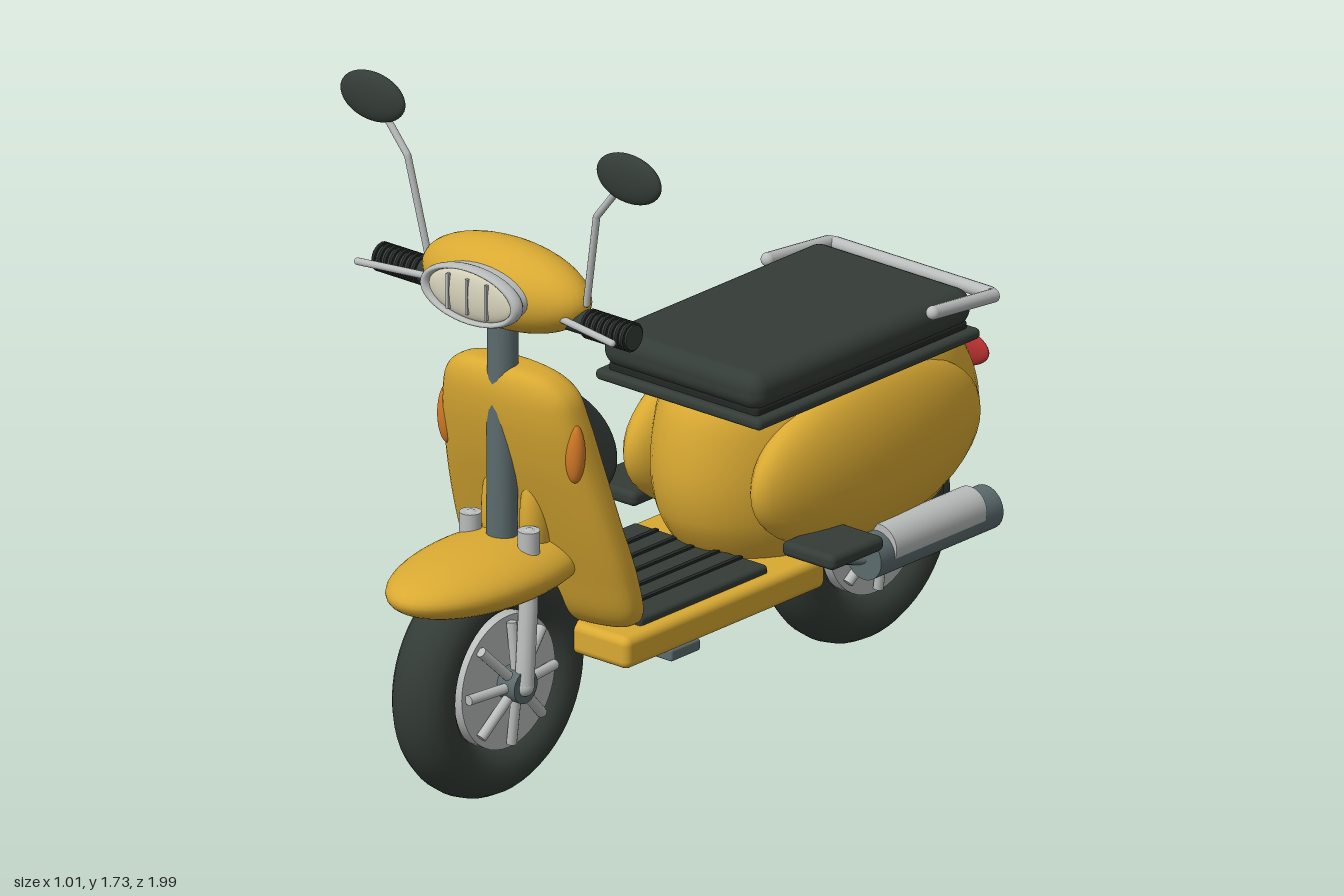
import * as THREE from 'three';
import { RoundedBoxGeometry } from 'three/addons/geometries/RoundedBoxGeometry.js';

const paint = (name, color) => Object.assign(new THREE.MeshStandardMaterial({ color }), { name });

export function createModel() {
  const yellow = paint('yellow paint', 0xd9a932), dark = paint('dark rubber', 0x343c37),
    black = paint('black trim', 0x222725), steel = paint('dark steel', 0x5c6b6d),
    chrome = paint('light metal', 0xb9bdbc), orange = paint('orange lens', 0xd37a26),
    red = paint('red lens', 0xb52f30), cream = paint('cream lens', 0xd6d2bb);
  const model = new THREE.Group();
  model.name = 'scooter';
  const V = (p) => new THREE.Vector3(...p);

  // helpers
  const add = (name, geo, mat, pos = [0, 0, 0], parent = model) => {
    const m = new THREE.Mesh(geo, mat);
    m.name = name;
    m.position.set(...pos);
    parent.add(m);
    return m;
  };
  const ball = (name, mat, pos, r, parent) =>
    add(name, new THREE.SphereGeometry(1, 36, 24).scale(...r), mat, pos, parent);
  const block = (name, mat, pos, size, radius, parent) =>
    add(name, new RoundedBoxGeometry(...size, 4, radius), mat, pos, parent);
  const rod = (name, mat, a, b, r, parent, sides = 18) => {
    const A = V(a), B = V(b), d = B.clone().sub(A);
    const m = add(name, new THREE.CylinderGeometry(r, r, d.length(), sides), mat,
      A.clone().add(B).multiplyScalar(0.5).toArray(), parent);
    m.quaternion.setFromUnitVectors(new THREE.Vector3(0, 1, 0), d.normalize());
    return m;
  };
  const bentTube = (name, mat, pts, r, parent) => {
    const path = new THREE.CurvePath();
    for (let i = 1; i < pts.length; i++) path.add(new THREE.LineCurve3(V(pts[i - 1]), V(pts[i])));
    const g = add(name, new THREE.TubeGeometry(path, 48, r, 12), mat, [0, 0, 0], parent);
    for (const p of [pts[0], pts[pts.length - 1]]) ball(name + 'End', mat, p, [r, r, r], parent);
    return g;
  };
  // stacked superellipse sections: [y, half width, back z, front z]
  const loft = (rows, power, n = 48) => {
    const pos = [], idx = [];
    const bent = (c) => Math.sign(c) * Math.abs(c) ** (2 / power);
    rows.forEach(([y, w, z0, z1]) => {
      for (let j = 0; j < n; j++) {
        const t = (j / n) * Math.PI * 2;
        pos.push(bent(Math.cos(t)) * w, y, (z0 + z1) / 2 + bent(Math.sin(t)) * (z1 - z0) / 2);
      }
    });
    for (let i = 0; i < rows.length - 1; i++) for (let j = 0; j < n; j++) {
      const k = (j + 1) % n, a = i * n + j, b = i * n + k;
      idx.push(a, a + n, b, b, a + n, b + n);
    }
    const g = new THREE.BufferGeometry();
    g.setAttribute('position', new THREE.Float32BufferAttribute(pos, 3));
    g.setIndex(idx);
    g.computeVertexNormals();
    return g;
  };
  // smooth a few section rows into many
  const smoothRows = (rows, count) => {
    const c1 = new THREE.CatmullRomCurve3(rows.map((r) => new THREE.Vector3(r[0], r[1], 0)));
    const c2 = new THREE.CatmullRomCurve3(rows.map((r) => new THREE.Vector3(r[0], r[2], r[3])));
    return Array.from({ length: count + 1 }, (_, i) => {
      const p = c1.getPoint(i / count), q = c2.getPoint(i / count);
      return [p.x, Math.max(p.y, 0), q.y, q.z];
    });
  };

  // wheels
  for (const [name, z] of [['frontWheel', 0.68], ['rearWheel', -0.64]]) {
    const w = new THREE.Group();
    w.name = name;
    w.position.set(0, 0.31, z);
    model.add(w);
    add('tyre', new THREE.TorusGeometry(0.231, 0.069, 18, 56).scale(1, 1, 1.16).rotateY(Math.PI / 2), dark, [0, 0, 0], w);
    rod('rim', chrome, [-0.065, 0, 0], [0.065, 0, 0], 0.168, w, 48);
    rod('hub', steel, [-0.12, 0, 0], [0.12, 0, 0], 0.042, w, 24);
    for (const s of [-1, 1]) for (let i = 0; i < 8; i++) {
      const a = (i * Math.PI) / 4, c = Math.cos(a), d = Math.sin(a);
      rod('spoke', chrome, [s * 0.09, 0.03 * c, 0.03 * d], [s * 0.075, 0.155 * c, 0.155 * d], 0.013, w, 10);
    }
  }

  // front fender, steering column and leg shield
  ball('frontFender', yellow, [0, 0.58, 0.68], [0.165, 0.078, 0.318]);
  rod('steeringColumn', steel, [0, 0.5, 0.63], [0, 1.25, 0.625], 0.038);
  add('legShield', loft(smoothRows([
    [0.4, 0, 0.4, 0.41], [0.405, 0.2, 0.365, 0.45], [0.44, 0.25, 0.36, 0.485], [0.55, 0.262, 0.385, 0.53],
    [0.7, 0.25, 0.43, 0.585], [0.85, 0.228, 0.465, 0.635], [0.97, 0.208, 0.495, 0.662],
    [1.04, 0.185, 0.515, 0.665], [1.08, 0.13, 0.55, 0.65], [1.092, 0, 0.6, 0.61]], 54), 2.6), yellow);
  ball('kneePad', black, [0, 0.83, 0.42], [0.18, 0.14, 0.018]);

  // floor
  block('floorBoard', yellow, [0, 0.355, 0.1], [0.49, 0.08, 0.72], 0.02);
  block('floorMat', dark, [0, 0.397, 0.14], [0.42, 0.036, 0.46], 0.01);
  for (let i = -2; i <= 2; i++)
    add('matRidge', new THREE.BoxGeometry(0.012, 0.008, 0.44), black, [i * 0.066, 0.417, 0.14]);

  // rear body with its fittings
  add('rearBody', loft(smoothRows([
    [0.288, 0, -0.45, -0.35], [0.3, 0.12, -0.6, -0.24], [0.34, 0.19, -0.76, -0.14], [0.4, 0.23, -0.88, -0.07],
    [0.48, 0.258, -0.96, -0.02], [0.57, 0.268, -0.992, 0], [0.67, 0.263, -0.97, -0.005],
    [0.76, 0.245, -0.91, -0.03], [0.81, 0.215, -0.83, -0.08], [0.82, 0, -0.5, -0.4]], 54), 2.1), yellow);
  ball('tailLight', red, [0, 0.678, -0.952], [0.15, 0.057, 0.022]);

  // seat and grab rail
  block('seatBase', dark, [0, 0.805, -0.4], [0.52, 0.028, 0.8], 0.012);
  block('seatGap', black, [0, 0.825, -0.4], [0.47, 0.03, 0.76], 0.01);
  block('seatCushion', dark, [0, 0.875, -0.398], [0.5, 0.092, 0.79], 0.04);
  bentTube('grabRail', chrome, [[-0.26, 0.91, -0.625], [-0.26, 0.888, -0.85],
    [0.26, 0.888, -0.85], [0.26, 0.91, -0.625]], 0.017);

  // exhaust on the left side
  rod('muffler', steel, [0.265, 0.362, -0.37], [0.265, 0.362, -0.81], 0.055, model, 28);
  rod('mufflerCover', chrome, [0.272, 0.382, -0.42], [0.272, 0.382, -0.745], 0.053, model, 28);
  rod('exhaustPipe', steel, [0.265, 0.362, -0.39], [0.06, 0.35, -0.26], 0.022);

  // side stand on the right side
  rod('sideStand', steel, [-0.14, 0.32, -0.21], [-0.27, 0.025, -0.3], 0.02);
  block('standFoot', steel, [-0.275, 0.016, -0.303], [0.08, 0.03, 0.105], 0.006);

  // handlebar housing, headlight and gauge
  ball('handlebarHousing', yellow, [0, 1.29, 0.61], [0.25, 0.11, 0.11]);
  const oval = (name, mat, r, ry, z0, z1) =>
    add(name, new THREE.CylinderGeometry(1, 1, z1 - z0, 40).rotateX(Math.PI / 2).scale(r, ry, 1), mat, [0, 1.295, (z0 + z1) / 2]);
  oval('headlightShell', chrome, 0.142, 0.065, 0.67, 0.738);
  add('headlightRing', new THREE.TorusGeometry(1, 0.09, 12, 48).scale(0.142, 0.067, 0.2), chrome, [0, 1.295, 0.738]);
  ball('headlightLens', cream, [0, 1.295, 0.738], [0.134, 0.062, 0.018]);
  for (const x of [-0.06, 0, 0.06])
    add('headlightBar', new THREE.BoxGeometry(0.007, 0.09, 0.009), chrome, [x, 1.295, 0.754]);
  const gauge = new THREE.Group();
  gauge.name = 'gauge';
  gauge.position.set(0, 1.335, 0.523);
  gauge.rotation.x = 0.6;
  model.add(gauge);
  ball('gaugeRim', chrome, [0, 0, 0], [0.085, 0.034, 0.016], gauge);
  ball('gaugeFace', steel, [0, 0, -0.007], [0.068, 0.025, 0.013], gauge);

  // paired parts
  for (const s of [-1, 1]) {
    const side = new THREE.Group();
    side.name = s > 0 ? 'leftParts' : 'rightParts';
    model.add(side);
    ball('sidePanel', yellow, [s * 0.2, 0.595, -0.45], [0.1, 0.21, 0.4], side);
    ball('indicator', orange, [s * 0.2, 0.9, 0.595], [0.026, 0.075, 0.024], side);
    ball('columnCover', yellow, [s * 0.06, 0.69, 0.575], [0.035, 0.14, 0.045], side);
    bentTube('forkLeg', chrome, [[s * 0.092, 0.67, 0.635], [s * 0.105, 0.5, 0.655], [s * 0.115, 0.31, 0.68]], 0.024, side);
    rod('forkCap', chrome, [s * 0.092, 0.62, 0.637], [s * 0.092, 0.69, 0.637], 0.027, side);
    block('footPeg', dark, [s * 0.312, 0.455, -0.205], [0.165, 0.038, 0.19], 0.015, side);
    block('rearFlap', dark, [s * 0.09, 0.33, -0.83], [0.03, 0.18, 0.042], 0.014, side);
    ball('bodyBolt', chrome, [s * 0.06, 0.455, -0.925], [0.01, 0.01, 0.01], side);

    // grip with ribs, lever
    rod('grip', dark, [s * 0.2, 1.252, 0.61], [s * 0.4, 1.252, 0.61], 0.031, side);
    for (let i = 0; i < 8; i++) {
      const x = 0.265 + i * 0.018;
      rod('gripRib', black, [s * (x - 0.004), 1.252, 0.61], [s * (x + 0.004), 1.252, 0.61], 0.037, side, 20);
    }
    bentTube('brakeLever', chrome, [[s * 0.2, 1.262, 0.65], [s * 0.4, 1.262, 0.69]], 0.009, side);

    // mirror
    bentTube('mirrorStem', chrome, [[s * 0.25, 1.3, 0.61], [s * 0.297, 1.54, 0.628], [s * 0.365, 1.625, 0.63]], 0.009, side);
    ball('mirrorShell', dark, [s * 0.403, 1.665, 0.632], [0.1, 0.062, 0.025], side);
    ball('mirrorGlass', chrome, [s * 0.403, 1.665, 0.618], [0.086, 0.051, 0.014], side);
  }
  return model;
}
